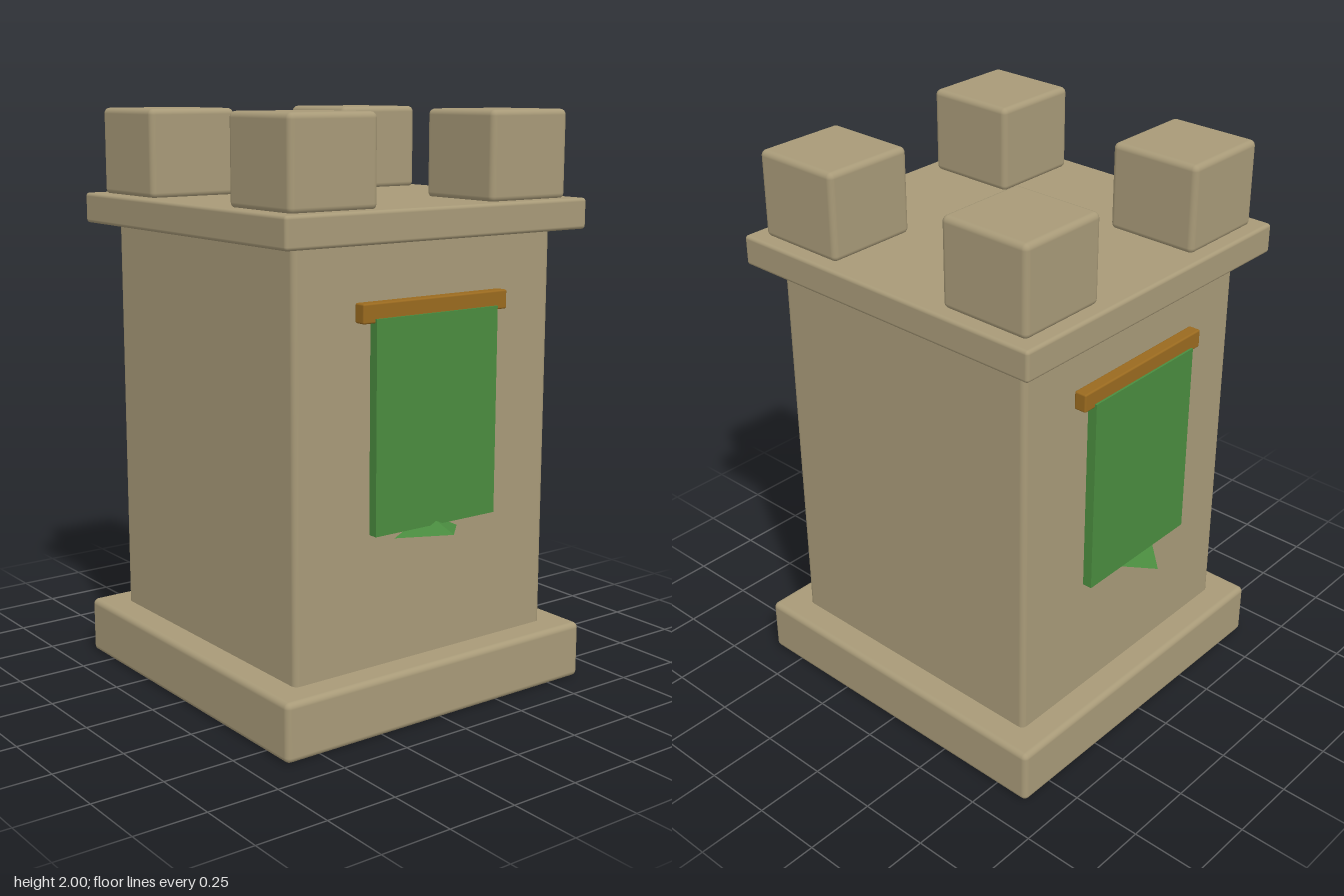
import * as THREE from 'three';
import { RoundedBoxGeometry } from 'three/addons/geometries/RoundedBoxGeometry.js';

const stone = new THREE.MeshStandardMaterial({ name: 'stone', color: 0xa89a78 });
const cloth = new THREE.MeshStandardMaterial({ name: 'greenCloth', color: 0x4a8c3f });
const wood = new THREE.MeshStandardMaterial({ name: 'rodWood', color: 0x9a6a1f });

export function createModel() {
  const tower = new THREE.Group();
  tower.name = 'tower';

  const add = (parent, name, geometry, material, x, y, z) => {
    const mesh = new THREE.Mesh(geometry, material);
    mesh.name = name;
    mesh.position.set(x, y, z);
    parent.add(mesh);
    return mesh;
  };
  const block = (w, h, d, r = 0.02) => new RoundedBoxGeometry(w, h, d, 3, r);

  // Stonework, from the plinth up
  add(tower, 'plinth', block(1.27, 0.2, 1.27), stone, 0, 0.1, 0);
  add(tower, 'shaft', block(1.07, 1.44, 1.07), stone, 0, 0.9, 0);
  add(tower, 'parapetSlab', block(1.24, 0.105, 1.24, 0.012), stone, 0, 1.652, 0);

  // Corner battlements
  for (const x of [-1, 1])
    for (const z of [-1, 1])
      add(tower, 'battlement', block(0.335, 0.3, 0.335), stone, x * 0.402, 1.85, z * 0.402);

  // Hanging banners, front and back
  for (const side of [1, -1]) {
    const banner = new THREE.Group();
    banner.name = side > 0 ? 'frontBanner' : 'backBanner';
    add(banner, 'rod', block(0.6, 0.064, 0.045, 0.006), wood, 0, 1.382, side * 0.557);
    add(banner, 'cloth', new THREE.BoxGeometry(0.506, 0.704, 0.034), cloth, 0, 1.012, side * 0.57);

    // Flattened three-sided point that juts outward below the cloth
    const point = new THREE.ConeGeometry(0.16, 0.145, 3).toNonIndexed();
    point.rotateY(Math.PI);
    point.rotateX(side * Math.PI / 2);
    point.scale(1, 0.28, 1);
    point.computeVertexNormals();
    add(banner, 'bannerPoint', point, cloth, 0, 0.645, side * 0.603);
    tower.add(banner);
  }
  return tower;
}
